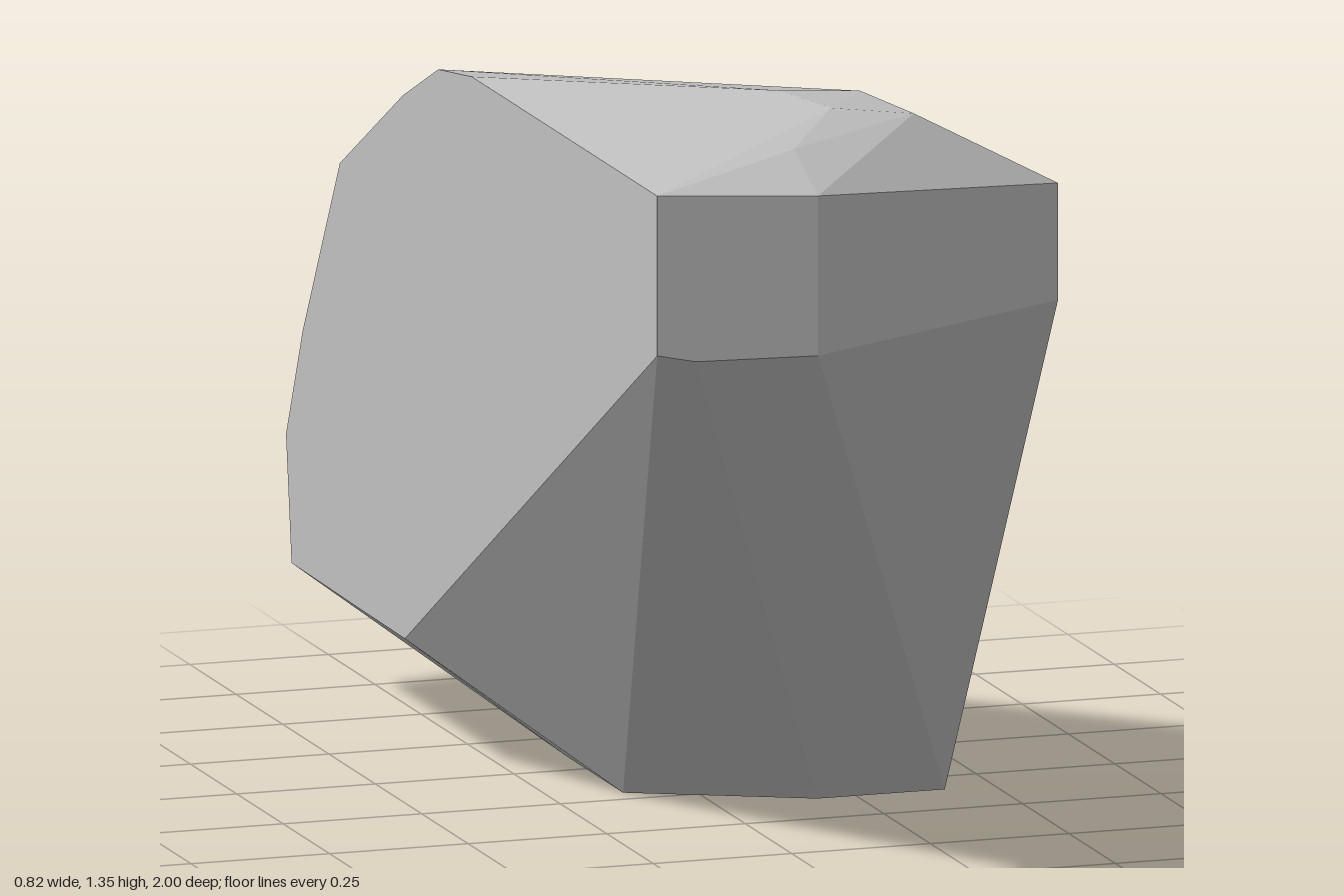
import * as THREE from 'three';
import { ConvexGeometry } from 'three/addons/geometries/ConvexGeometry.js';

export function createModel() {
  const group = new THREE.Group();
  group.name = 'facetedBlock';
  const grey = new THREE.MeshStandardMaterial({ color: 0xc0c0c0 });
  grey.name = 'light grey';

  // Flat end outlines as [z, y]
  const largeEnd = [
    [1, 1.285], [1, 1.005], [-0.36, 0.225], [-0.97, 0.23], [-1, 0.45],
    [-0.91, 0.65], [-0.71, 0.985], [-0.37, 1.175], [-0.18, 1.26], [0, 1.285],
  ];
  const smallEnd = [
    [0.71, 1.19], [0.71, 0.985], [0.1, 0], [-0.07, 0], [-0.07, 0.6], [-0.055, 0.74],
    [0, 0.84], [0.07, 0.91], [0.18, 1.0], [0.35, 1.1], [0.5, 1.17],
  ];
  // Corners between the ends as [x, y, z]
  const between = [
    [-0.12, 1.265, 1], [-0.12, 0.985, 1], [-0.34, 0.99, 1], // front face
    [-0.12, 1.32, 0.87], [0, 1.35, 0.71], [0.15, 1.33, 0.71], // top ridge
    [0.12, 1.33, 0.51], [-0.03, 1.345, 0.53],
    [0.18, 0, 0.1], [-0.12, 0, -0.05], [-0.12, 0, -0.36], // foot
  ];

  const points = [
    ...largeEnd.map(([z, y]) => new THREE.Vector3(-0.41, y, z)),
    ...smallEnd.map(([z, y]) => new THREE.Vector3(0.41, y, z)),
    ...between.map((p) => new THREE.Vector3(...p)),
  ];
  const body = new THREE.Mesh(new ConvexGeometry(points), grey);
  body.name = 'body';
  group.add(body);
  return group;
}
